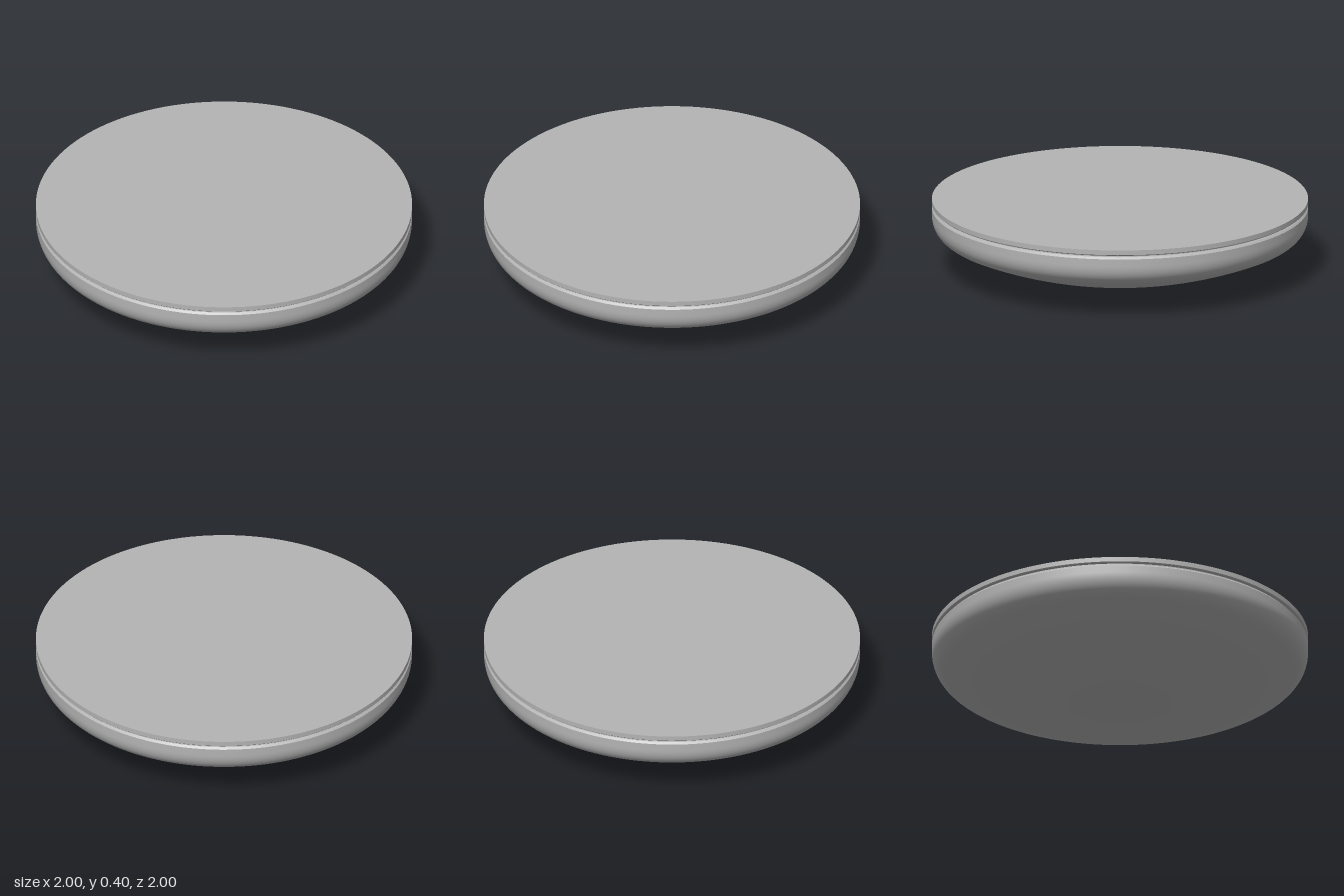
import * as THREE from 'three';

const SEGMENTS = 128;

export function createModel() {
  const model = new THREE.Group();
  model.name = 'roundDomedDisc';
  const grey = new THREE.MeshStandardMaterial({ color: 0xb4b4b4 });
  grey.name = 'plain grey';

  // Each lathed section keeps its own normals, so edges between sections stay crisp
  const addSection = (name, points) => {
    const profile = points.map((p) => (p.isVector2 ? p : new THREE.Vector2(p[0], p[1])));
    const mesh = new THREE.Mesh(new THREE.LatheGeometry(profile, SEGMENTS), grey);
    mesh.name = name;
    model.add(mesh);
  };

  // Shallow spherical belly, then a rounded shoulder up to the straight side
  const edgeX = 0.92, edgeY = 0.195;
  const radius = (edgeX * edgeX + edgeY * edgeY) / (2 * edgeY);
  const maxAngle = Math.asin(edgeX / radius);
  const belly = [];
  for (let i = 0; i <= 24; i++) {
    const a = (maxAngle * i) / 24;
    belly.push(new THREE.Vector2(radius * Math.sin(a), radius * (1 - Math.cos(a))));
  }
  const shoulder = new THREE.CubicBezierCurve(
    new THREE.Vector2(edgeX, edgeY),
    new THREE.Vector2(0.97, edgeY + 0.05 * Math.tan(maxAngle)),
    new THREE.Vector2(1, 0.255),
    new THREE.Vector2(1, 0.315)
  ).getPoints(14);
  addSection('bowl', [...belly, ...shoulder.slice(1), [1, 0.354]]);

  // Narrow groove between bowl and lid
  addSection('bowlBevel', [[1, 0.354], [0.99, 0.364]]);
  addSection('grooveLedge', [[0.99, 0.364], [0.982, 0.366]]);
  addSection('grooveWall', [[0.982, 0.366], [0.982, 0.373]]);

  // Flat lid
  addSection('lidUnderside', [[0.982, 0.373], [0.995, 0.373]]);
  addSection('lidLowerBevel', [[0.995, 0.373], [1, 0.378]]);
  addSection('lidSide', [[1, 0.378], [1, 0.404]]);
  addSection('lidTop', [[1, 0.404], [0, 0.404]]);

  return model;
}
